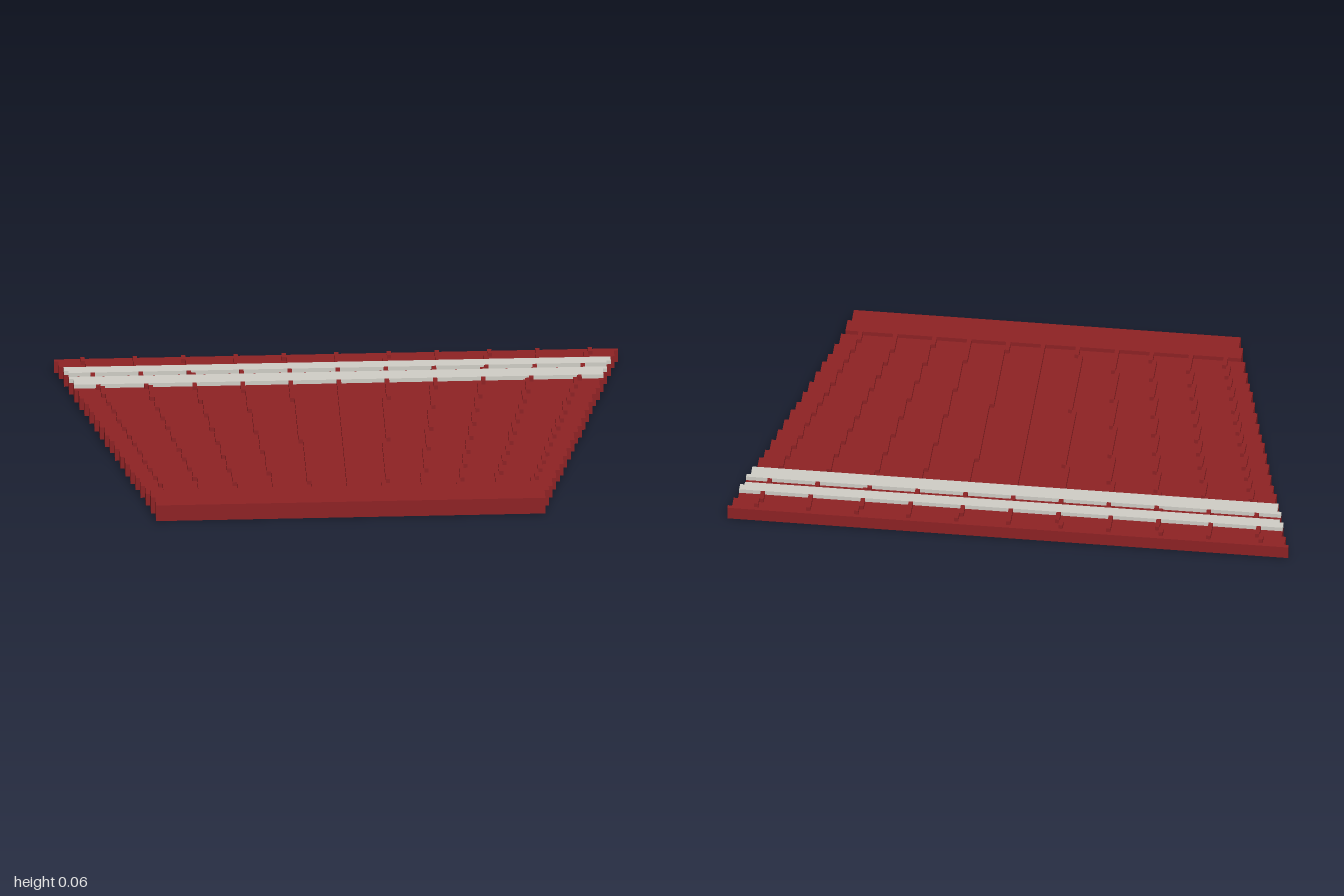
import * as THREE from 'three';
import { mergeGeometries } from 'three/addons/utils/BufferGeometryUtils.js';

const U = 2 / 129;            // size of one block
const ROWS = 77;              // rows from back (0) to front (76)
const BASE = 3 * U;           // height of the floor slab
const TOP = 4 * U;            // height of ridges and stripes

const zOf = (row) => (row - ROWS / 2) * U;
const taper = (row) => 64 - (row * 20) / 76;
const half = (row) => (Math.floor(taper(row) + 1e-6) + 0.5) * U;

// Slab with stepped, mirrored sides covering rows r0 to r1 inclusive
function steppedSlab(r0, r1, y0, y1) {
  const side = [];
  for (let r = r0; r <= r1; r++) {
    const last = side.length - 1;
    if (r > r0 && half(r) === half(r - 1)) side[last][1] = -zOf(r + 1);
    else side.push([half(r), -zOf(r)], [half(r), -zOf(r + 1)]);
  }
  const points = [...side, ...side.map(([x, y]) => [-x, y]).reverse()];
  const shape = new THREE.Shape(points.map(([x, y]) => new THREE.Vector2(x, y)));
  const geo = new THREE.ExtrudeGeometry(shape, { depth: y1 - y0, bevelEnabled: false });
  return geo.rotateX(-Math.PI / 2).translate(0, y0, 0);
}

// One-block-wide ridge that fans outward, as a run of straight blocks
function ridgeGeometry(k, r0, r1) {
  const column = (r) => Math.sign(k) * Math.round((Math.abs(k) * taper(r)) / 5.5);
  const boxes = [];
  let start = r0;
  for (let r = r0; r <= r1; r++) {
    if (r < r1 && column(r + 1) === column(start)) continue;
    const length = (r - start + 1) * U;
    boxes.push(new THREE.BoxGeometry(U, TOP - BASE, length)
      .translate(column(start) * U, (BASE + TOP) / 2, zOf(start) + length / 2));
    start = r + 1;
  }
  return mergeGeometries(boxes);
}

export function createModel() {
  const group = new THREE.Group();
  const red = new THREE.MeshStandardMaterial({ color: 0x8e2224 });
  red.name = 'dark red';
  const silver = new THREE.MeshStandardMaterial({ color: 0xd0cec6 });
  silver.name = 'pale grey';

  const add = (name, geometry, material) => {
    const mesh = new THREE.Mesh(geometry, material);
    mesh.name = name;
    group.add(mesh);
  };

  add('floorSlab', steppedSlab(0, 76, 0, BASE), red);
  add('frontBand', steppedSlab(69, 76, BASE, TOP), red);
  add('rearStripe', steppedSlab(6, 8, BASE, TOP), silver);
  add('frontStripe', steppedSlab(11, 14, BASE, TOP), silver);

  // Ridges are broken where the stripes cross them
  for (let k = -5; k <= 5; k++) {
    const spans = [[1, 5], [9, 10], [15, 68]];
    add('ridge', mergeGeometries(spans.map(([a, b]) => ridgeGeometry(k, a, b))), red);
  }
  return group;
}
